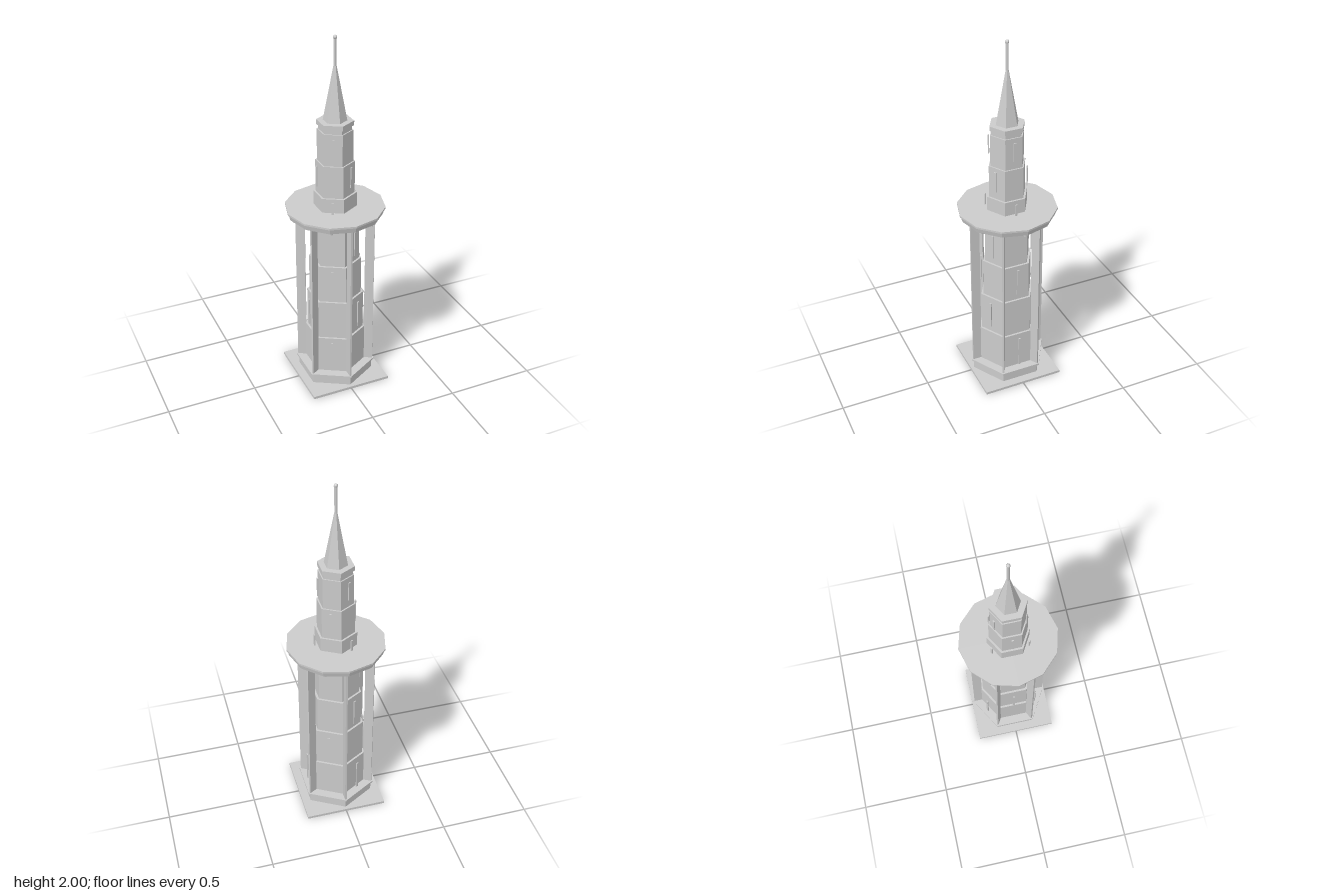
import * as THREE from 'three';

const material = new THREE.MeshStandardMaterial({ color: 0xcccccc, flatShading: true });

export function createModel() {
  const tower = new THREE.Group();
  tower.name = 'tower';

  const add = (name, geometry, x = 0, y = 0, z = 0, turn = 0) => {
    const mesh = new THREE.Mesh(geometry, material);
    mesh.name = name;
    mesh.position.set(x, y, z);
    mesh.rotation.y = turn;
    tower.add(mesh);
    return mesh;
  };

  // Upright prism or frustum between two heights, a corner facing +z
  const prism = (name, y0, y1, rBottom, rTop = rBottom, sides = 6) =>
    add(name, new THREE.CylinderGeometry(rTop, rBottom, y1 - y0, sides), 0, (y0 + y1) / 2, 0);

  // Part set at an angle (degrees from +z) and distance from the axis
  const around = (name, geometry, degrees, r, y) => {
    const a = THREE.MathUtils.degToRad(degrees);
    add(name, geometry, r * Math.sin(a), y, r * Math.cos(a), a);
  };

  // Ground slab and hexagonal plinth
  add('groundSlab', new THREE.BoxGeometry(0.46, 0.015, 0.46), 0, 0.0075, 0);
  prism('plinth', 0.015, 0.07, 0.211);
  prism('plinthLip', 0.07, 0.08, 0.225);

  // Stepped tiers: [bottom, top, radius, window bottom, window top]
  const tiers = [
    [0.08, 0.30, 0.170, 0.10, 0.285],
    [0.30, 0.53, 0.157, 0.35, 0.51],
    [0.53, 0.75, 0.144, 0.575, 0.735],
    [0.75, 0.96, 0.131, 0.80, 0.94],
    [0.96, 1.15, 0.116, 1.00, 1.135],
    [1.15, 1.33, 0.104, 1.20, 1.315],
    [1.33, 1.505, 0.095, 1.38, 1.485],
  ];
  tiers.forEach(([y0, y1, r, w0, w1], i) => {
    prism('tier', y0, y1, r);
    // Slit panels stand off alternate faces of each tier
    for (let k = 0; k < 3; k++) {
      const degrees = (i % 2 ? 30 : 90) + k * 120;
      around('slitWindow', new THREE.BoxGeometry(0.013, w1 - w0, 0.006), degrees, r + 0.001, (w0 + w1) / 2);
    }
  });

  // Fins at the hexagon corners, lamps beneath the platform between them
  for (let k = 0; k < 6; k++) {
    around('fin', new THREE.BoxGeometry(0.01, 0.935, 0.051), k * 60, 0.19, 0.5475);
    around('lamp', new THREE.CylinderGeometry(0.012, 0.012, 0.017, 12), 30 + k * 60, 0.231, 1.0235);
  }

  // Twelve-sided platform
  prism('platformBody', 1.03, 1.06, 0.257, 0.265, 12);
  prism('platformRim', 1.06, 1.07, 0.27, 0.27, 12);

  // Cornice, spire and mast
  prism('corniceNeck', 1.505, 1.53, 0.088);
  prism('cornice', 1.53, 1.555, 0.098);
  prism('spire', 1.555, 1.845, 0.063, 0.008);
  prism('mast', 1.8, 1.99, 0.008, 0.008, 8);
  add('mastTip', new THREE.SphereGeometry(0.011, 8, 6), 0, 1.989, 0);

  return tower;
}
